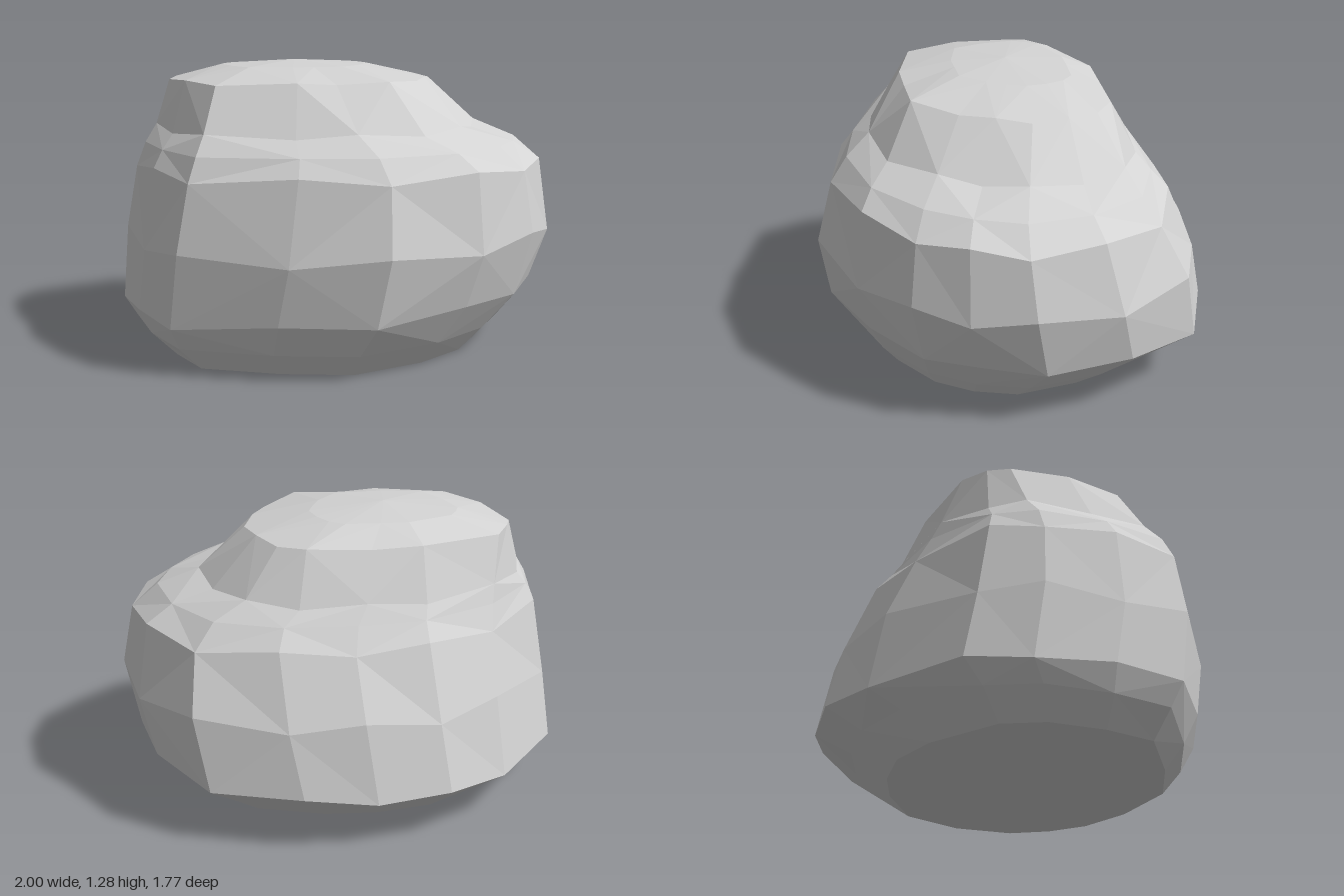
import * as THREE from 'three';

// Unit outlines seen from above, as x, z pairs running +x, +z, -x, -z
const BELLY = [1, -.05, .94, .26, .81, .53, .54, .79, .12, 1, -.3, .93, -.76, .76, -.91, .43,
  -1, .05, -.96, -.26, -.66, -.69, -.38, -.91, -.05, -.99, .27, -.98, .67, -.85, .91, -.48];
const CROWN = [1, -.18, .93, .15, .83, .48, .58, .91, .2, .96, -.08, 1, -.65, .89, -.87, .38,
  -1, -.18, -.95, -.4, -.85, -.63, -.25, -.98, .12, -1, .58, -1, .78, -.83, .92, -.53];
const N = BELLY.length / 2;

// One cross-section: an outline between belly and crown, fitted to its extents.
// tilt raises it along +x, lean along +z, wave lifts and drops alternate corners.
function section({ y, x: [x0, x1], z: [z0, z1], crown = 0, tilt = 0, lean = 0, wave = 0 }) {
  const fit = (k, lo, hi) =>
    (lo + hi) / 2 + (hi - lo) / 2 * THREE.MathUtils.lerp(BELLY[k], CROWN[k], crown);
  return Array.from({ length: N }, (_, i) => {
    const x = fit(2 * i, x0, x1), z = fit(2 * i + 1, z0, z1);
    return new THREE.Vector3(x, y + tilt * x + lean * z + (i % 2 ? wave : -wave), z);
  });
}

function rockGeometry() {
  const rings = [
    { y: 0, x: [-.82, .65], z: [-.56, .68] },
    { y: .11, x: [-.94, .77], z: [-.72, .77] },
    { y: .24, x: [-1, .93], z: [-.89, .85], tilt: .04, lean: .02, wave: .01 },
    { y: .53, x: [-.97, 1], z: [-.83, .89], tilt: .01, wave: -.02 },
    { y: .83, x: [-.92, .95], z: [-.69, .82], crown: .15, lean: .03, wave: .015 },
    { y: .92, x: [-.88, .83], z: [-.61, .75], crown: .3, lean: .03 },
    { y: .99, x: [-.83, .64], z: [-.55, .65], crown: .5, lean: .04, wave: -.01 },
    { y: 1.2, x: [-.77, .43], z: [-.43, .49], crown: 1, lean: .04, wave: .005 },
    { y: 1.262, x: [-.53, .14], z: [-.28, .25], crown: 1, lean: .03 },
  ].map(section);

  const positions = [];
  const face = (...pts) => pts.forEach((p) => positions.push(p.x, p.y, p.z));

  // Side facets with alternating diagonals
  for (let r = 0; r < rings.length - 1; r++) {
    for (let i = 0; i < N; i++) {
      const j = (i + 1) % N;
      const a = rings[r][i], b = rings[r][j], c = rings[r + 1][i], d = rings[r + 1][j];
      if ((i + r) % 2) { face(a, c, b); face(b, c, d); }
      else { face(a, d, b); face(a, c, d); }
    }
  }

  // Flat underside and low dome on top
  const foot = new THREE.Vector3(-.08, 0, .05);
  const summit = new THREE.Vector3(-.2, 1.285, 0);
  const top = rings[rings.length - 1];
  for (let i = 0; i < N; i++) {
    const j = (i + 1) % N;
    face(foot, rings[0][i], rings[0][j]);
    face(summit, top[j], top[i]);
  }

  const geometry = new THREE.BufferGeometry();
  geometry.setAttribute('position', new THREE.Float32BufferAttribute(positions, 3));
  geometry.computeVertexNormals();
  return geometry;
}

export function createModel() {
  const stone = new THREE.MeshStandardMaterial({ color: 0xd3d3d3, flatShading: true });
  stone.name = 'pale grey stone';
  const rock = new THREE.Mesh(rockGeometry(), stone);
  rock.name = 'rock';
  const model = new THREE.Group();
  model.name = 'boulder';
  model.add(rock);
  return model;
}
